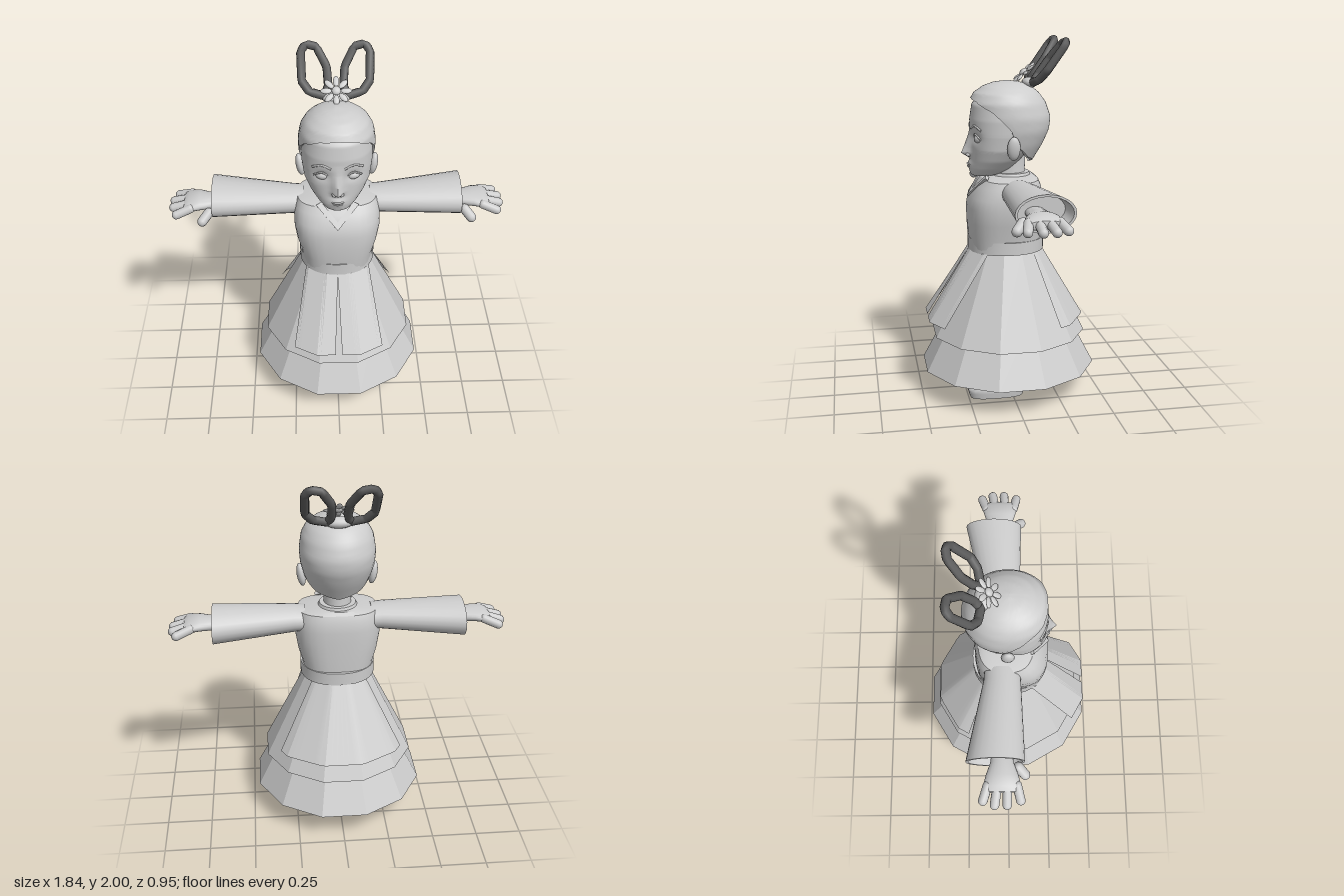
import * as THREE from 'three';
import { mergeVertices, toCreasedNormals } from 'three/addons/utils/BufferGeometryUtils.js';

const light = new THREE.MeshStandardMaterial({ color: 0xcccccc, side: THREE.DoubleSide });
light.name = 'light grey';
const dark = new THREE.MeshStandardMaterial({ color: 0x5c5c5c, side: THREE.DoubleSide });
dark.name = 'dark grey';

const { cos, sin, abs, sign, exp, PI } = Math;

// Linear lookup in a table whose first column ascends
function lookup(table, t) {
  let i = 0;
  while (i < table.length - 2 && t > table[i + 1][0]) i++;
  const a = table[i], b = table[i + 1];
  const k = Math.min(1, Math.max(0, (t - a[0]) / (b[0] - a[0])));
  return a.map((v, j) => v + (b[j] - v) * k);
}

// Surface from a rule f(u, v) -> [x, y, z]
function grid(nu, nv, f, crease = 0.7) {
  const pos = [], index = [];
  for (let j = 0; j <= nv; j++) for (let i = 0; i <= nu; i++) pos.push(...f(i / nu, j / nv));
  for (let j = 0; j < nv; j++) for (let i = 0; i < nu; i++) {
    const a = j * (nu + 1) + i, b = a + nu + 1;
    index.push(a, a + 1, b + 1, a, b + 1, b);
  }
  const g = new THREE.BufferGeometry();
  g.setAttribute('position', new THREE.Float32BufferAttribute(pos, 3));
  g.setIndex(index);
  return toCreasedNormals(mergeVertices(g, 1e-5), crease);
}

const power = (v, n) => sign(v) * abs(v) ** (2 / n);

// Point on an upright section [y, halfWidth, zFront, zBack]
function ringPoint([y, rx, zf, zb], a, n = 2) {
  return [rx * power(sin(a), n), y, (zf + zb) / 2 + ((zf - zb) / 2) * power(cos(a), n)];
}

// Upright loft through sections, closed at both ends
function loftY(rows, n = 2, seg = 32, crease = 0.7) {
  const close = ([y, , f, b]) => [y, 0, (f + b) / 2, (f + b) / 2];
  const all = [close(rows[0]), ...rows, close(rows[rows.length - 1])];
  const m = all.length - 1;
  return grid(seg, m, (u, v) => ringPoint(all[Math.round(v * m)], u * 2 * PI, n), crease);
}

// Sideways loft through sections [x, yCentre, zCentre, halfHeight, halfDepth]
function loftX(rows, seg = 24, crease = 0.7) {
  const m = rows.length - 1;
  return grid(seg, m, (u, v) => {
    const [x, y, z, ry, rz] = rows[Math.round(v * m)];
    return [x, y + ry * cos(u * 2 * PI), z + rz * sin(u * 2 * PI)];
  }, crease);
}

function add(parent, name, geometry, material = light, at = [0, 0, 0]) {
  const mesh = new THREE.Mesh(geometry, material);
  mesh.name = name;
  mesh.position.set(...at);
  parent.add(mesh);
  return mesh;
}

function ball(parent, name, at, size) {
  const mesh = add(parent, name, new THREE.SphereGeometry(1, 16, 10), light, at);
  mesh.scale.set(...size);
  return mesh;
}

// Rounded limb between two points
function limb(parent, name, from, to, r) {
  const a = new THREE.Vector3(...from), b = new THREE.Vector3(...to), d = b.clone().sub(a);
  const mesh = add(parent, name, new THREE.CapsuleGeometry(r, d.length(), 5, 12), light);
  mesh.position.copy(a).add(b).multiplyScalar(0.5);
  mesh.quaternion.setFromUnitVectors(new THREE.Vector3(0, 1, 0), d.normalize());
}

function tube(points, r, sides, seg, closed, type = 'centripetal') {
  const path = new THREE.CatmullRomCurve3(points.map(p => new THREE.Vector3(...p)), closed, type, 0);
  return new THREE.TubeGeometry(path, seg, r, sides, closed);
}

// Twelve-sided skirt layer, sized by its flat-to-flat radius
function skirtLayer(parent, name, top, bottom, y0, y1) {
  const k = 1 / cos(PI / 12);
  const g = new THREE.CylinderGeometry(top * k, bottom * k, y1 - y0, 12).rotateY(PI / 12);
  add(parent, name, toCreasedNormals(g, 0.3), light, [0, (y0 + y1) / 2, 0]).scale.x = 0.975;
}

// Apron cloth following the twelve-sided skirt
function apron(parent, name, low, high, lowAngles, highAngles) {
  const mix = THREE.MathUtils.lerp, step = PI / 6;
  add(parent, name, grid(24, 1, (u, v) => {
    const a = mix(mix(lowAngles[0], lowAngles[1], u), mix(highAngles[0], highAngles[1], u), v);
    const r = mix(low, high, v) / cos(a - Math.round(a / step) * step);
    return [r * sin(a), mix(0.45, 0.838, v), r * cos(a)];
  }, 0.3));
}

const faceRows = [
  [1.245, 0.045, 0.19, 0.09], [1.26, 0.075, 0.208, 0.04], [1.29, 0.108, 0.21, -0.02],
  [1.34, 0.145, 0.207, -0.07], [1.4, 0.175, 0.206, -0.12], [1.48, 0.187, 0.208, -0.16],
  [1.56, 0.188, 0.208, -0.18], [1.64, 0.175, 0.195, -0.17], [1.7, 0.13, 0.14, -0.13],
];
const hairRows = [
  [1.32, 0.135, 0.16, -0.13], [1.42, 0.178, 0.18, -0.19], [1.5, 0.2, 0.2, -0.227],
  [1.57, 0.205, 0.212, -0.235], [1.65, 0.193, 0.213, -0.207], [1.7, 0.165, 0.185, -0.17],
  [1.735, 0.12, 0.135, -0.125], [1.755, 0.07, 0.08, -0.075], [1.766, 0, 0.005, 0.005],
];
const hairline = [[0, 1.672], [0.5, 1.66], [1.05, 1.61], [1.45, 1.52], [1.62, 1.43], [2.2, 1.36], [PI, 1.32]];

function buildHead(head) {
  // Face with nose ridge and eye sockets
  add(head, 'face', grid(80, 56, (u, v) => {
    const row = lookup(faceRows, 1.245 + 0.455 * v);
    const a = u * 2 * PI, p = ringPoint(v === 0 ? [1.245, 0, 0.14, 0.14] : row, a, 2.15);
    if (cos(a) > 0 && v > 0) {
      const [x, y] = p;
      const ridge = lookup([[1.345, 0], [1.375, 0.052], [1.4, 0.04], [1.48, 0.008], [1.53, 0]], y)[1];
      p[2] += ridge * exp(-((x / 0.025) ** 2));
      p[2] += 0.014 * exp(-((x / 0.04) ** 2) - ((y - 1.31) / 0.025) ** 2);
      p[2] -= 0.014 * exp(-(((abs(x) - 0.08) / 0.04) ** 2) - ((y - 1.465) / 0.03) ** 2);
    }
    return p;
  }, 1.2));
  ball(head, 'upperLip', [0, 1.314, 0.215], [0.033, 0.006, 0.012]);
  ball(head, 'lowerLip', [0, 1.301, 0.213], [0.027, 0.007, 0.012]);
  for (const s of [1, -1]) {
    ball(head, 'eye', [s * 0.082, 1.46, 0.17], [0.035, 0.023, 0.025]).rotation.y = s * 0.35;
    ball(head, 'nostril', [s * 0.018, 1.367, 0.217], [0.014, 0.012, 0.018]);
    ball(head, 'ear', [s * 0.195, 1.42, 0.0], [0.024, 0.066, 0.036]).rotation.z = -s * 0.15;
    add(head, 'eyelid', tube([[s * 0.04, 1.458, 0.189], [s * 0.08, 1.487, 0.192], [s * 0.125, 1.462, 0.168]], 0.005, 6, 12, false));
    add(head, 'eyebrow', tube([[s * 0.035, 1.515, 0.205], [s * 0.08, 1.532, 0.194], [s * 0.13, 1.51, 0.166]], 0.006, 6, 12, false));
  }
  // Hair cap with a turned-in rim
  add(head, 'hair', grid(64, 24, (u, v) => {
    const a = u * 2 * PI, low = lookup(hairline, Math.min(a, 2 * PI - a))[1];
    const t = Math.max(0, (v * 24 - 1) / 23);
    const row = lookup(hairRows, low + (1.766 - low) * sin(t * PI / 2));
    const p = ringPoint(row, a, 2.1);
    return v === 0 ? [p[0] * 0.86, p[1], p[2] * 0.86] : p;
  }, 0.9));
  add(head, 'neck', loftY([[1.18, 0.085, 0.09, -0.11], [1.25, 0.075, 0.08, -0.095], [1.38, 0.08, 0.08, -0.1]]));
  // Hair loops leaning back
  const loop = [[0.06, 1.755], [0.14, 1.775], [0.178, 1.82], [0.182, 1.945], [0.155, 1.977], [0.1, 1.965], [0.047, 1.88], [0.04, 1.8]];
  for (const s of [1, -1]) {
    const pts = loop.map(([x, y]) => [s * x, y, -0.125 - (y - 1.75) * 0.72]);
    add(head, 'hairLoop', tube(pts, 0.023, 8, 32, true, 'catmullrom'), dark);
  }
  ball(head, 'hairKnot', [0, 1.75, -0.12], [0.075, 0.03, 0.04]);
  // Flower ornament
  const flower = new THREE.Group();
  flower.name = 'flower';
  flower.position.set(0, 1.805, -0.09);
  flower.rotation.x = -0.85;
  for (let i = 0; i < 8; i++) {
    const a = i * PI / 4;
    ball(flower, 'petal', [0.052 * cos(a), 0.052 * sin(a), 0], [0.03, 0.016, 0.008]).rotation.z = a;
  }
  ball(flower, 'flowerCentre', [0, 0, 0.004], [0.024, 0.024, 0.015]);
  head.add(flower);
}

function buildSide(side) {
  // Wide sleeve, hollow at the cuff
  add(side, 'sleeve', loftX([
    [0.18, 1.18, -0.03, 0, 0], [0.18, 1.18, -0.03, 0.068, 0.095], [0.24, 1.18, -0.03, 0.073, 0.1],
    [0.68, 1.178, -0.07, 0.098, 0.155], [0.68, 1.178, -0.07, 0.086, 0.142],
    [0.58, 1.178, -0.06, 0.08, 0.13], [0.58, 1.178, -0.06, 0, 0],
  ]));
  // Hand
  add(side, 'palm', loftX([
    [0.57, 1.165, -0.035, 0.03, 0.05], [0.68, 1.168, -0.035, 0.036, 0.06], [0.75, 1.173, -0.035, 0.037, 0.085],
    [0.81, 1.168, -0.035, 0.033, 0.1], [0.835, 1.163, -0.035, 0.022, 0.09], [0.84, 1.163, -0.035, 0, 0],
  ]));
  [[-0.11, -0.135, 0.875], [-0.06, -0.075, 0.897], [-0.008, -0.01, 0.897], [0.042, 0.06, 0.875]].forEach(([z0, z1, x]) =>
    limb(side, 'finger', [0.8, 1.168, z0], [x, 1.142, z1], 0.025));
  limb(side, 'thumb', [0.7, 1.145, 0.05], [0.735, 1.112, 0.085], 0.027);
  // Leg and shoe
  const cuff = new THREE.CylinderGeometry(0.042, 0.055, 0.12, 12);
  add(side, 'trouserCuff', cuff, light, [0.135, 0.16, 0.015]).scale.z = 1.5;
  add(side, 'ankle', new THREE.CylinderGeometry(0.042, 0.045, 0.08, 16), light, [0.138, 0.08, 0.0]);
  const sole = loftY([[0, 0.062, 0.24, -0.06], [0.03, 0.067, 0.25, -0.068], [0.05, 0.07, 0.255, -0.07], [0.06, 0.066, 0.25, -0.065]], 2.7);
  add(side, 'sole', sole, light, [0.145, 0, 0]);
  add(side, 'shoeUpper', loftY([[0.05, 0.064, 0.2, -0.066], [0.07, 0.06, 0.12, -0.066], [0.1, 0.053, 0.07, -0.062]], 2.4), light, [0.142, 0, 0]);
}

export function createModel() {
  const model = new THREE.Group();
  model.name = 'dancer';

  const head = new THREE.Group();
  head.name = 'head';
  buildHead(head);
  model.add(head);

  for (const s of [1, -1]) {
    const side = new THREE.Group();
    side.name = s > 0 ? 'leftSide' : 'rightSide';
    buildSide(side);
    side.scale.x = s;
    model.add(side);
  }

  // Bodice, collar and belt
  add(model, 'bodice', loftY([
    [0.84, 0.19, 0.21, -0.175], [0.92, 0.2, 0.222, -0.178], [1.0, 0.222, 0.226, -0.18], [1.08, 0.235, 0.226, -0.18],
    [1.14, 0.235, 0.215, -0.18], [1.2, 0.228, 0.175, -0.175], [1.235, 0.215, 0.145, -0.16], [1.25, 0.14, 0.1, -0.14],
  ], 2.8, 32, 0.5));
  add(model, 'neckBand', loftY([[1.22, 0.12, 0.11, -0.135], [1.265, 0.1, 0.08, -0.12]], 2));
  const vee = new THREE.Shape([[0, -0.01], [0.115, 0.13], [0.085, 0.145], [0, 0.035], [-0.085, 0.145], [-0.115, 0.13]]
    .map(p => new THREE.Vector2(...p)));
  const collar = new THREE.ExtrudeGeometry(vee, { depth: 0.02, bevelEnabled: false });
  add(model, 'collar', collar, light, [0, 1.135, 0.205]).rotation.x = -0.65;
  add(model, 'belt', loftY([[0.835, 0.208, 0.225, -0.198], [0.905, 0.208, 0.225, -0.198]], 2.2));

  // Skirt layers and apron panels
  skirtLayer(model, 'lowerSkirt', 0.3, 0.477, 0.155, 0.5);
  skirtLayer(model, 'upperSkirt', 0.178, 0.422, 0.35, 0.845);
  apron(model, 'frontApronLeft', 0.46, 0.22, [0.04, 0.566], [0, 0.9]);
  apron(model, 'frontApronRight', 0.46, 0.22, [-0.566, -0.04], [-0.9, 0]);
  apron(model, 'backApron', 0.411, 0.185, [PI - 0.96, PI + 0.96], [PI - 0.9, PI + 0.9]);
  return model;
}
